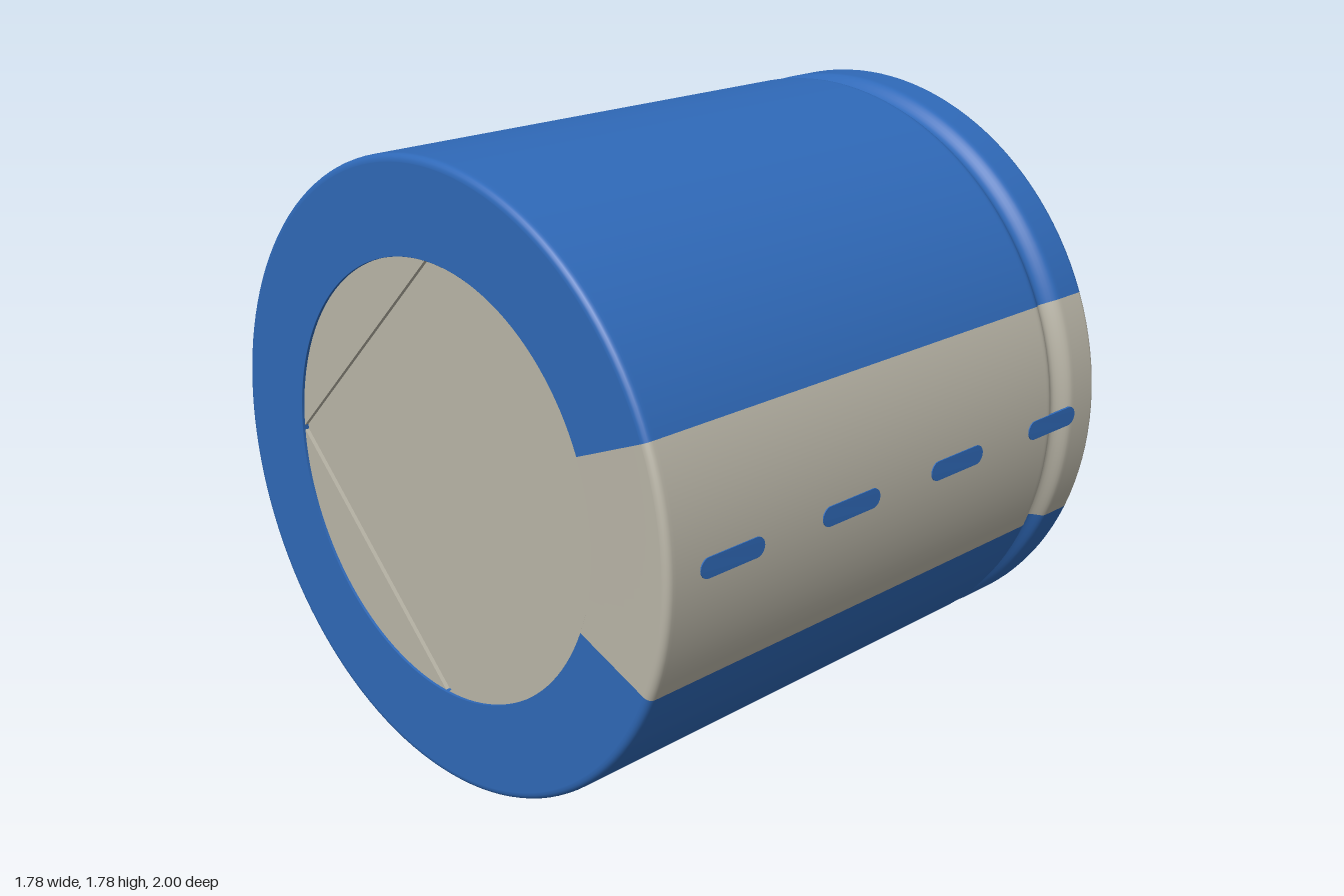
import * as THREE from 'three';

const R = 0.89, INNER = 0.62, BACK = -0.775, FRONT = 1;

export function createModel() {
  const blue = new THREE.MeshStandardMaterial({ color: 0x2f69b8 });
  blue.name = 'blue sleeve';
  const beige = new THREE.MeshStandardMaterial({ color: 0xbab6a8 });
  beige.name = 'beige metal';

  const model = new THREE.Group();
  model.name = 'capacitor';
  const body = new THREE.Group();
  body.name = 'body';
  body.position.y = R;
  model.add(body);

  const add = (name, geometry, material, x = 0, y = 0, z = 0) => {
    const mesh = new THREE.Mesh(geometry, material);
    mesh.name = name;
    mesh.position.set(x, y, z);
    body.add(mesh);
    return mesh;
  };

  // Sleeve profile (radius, depth): back lip, rolled edge, crimp groove, wall, front lip
  const profile = [[INNER, BACK + 0.02], [INNER, BACK + 0.001], [INNER + 0.001, BACK], [R - 0.022, BACK]];
  const corner = (z, from, sign) => {
    for (let i = 0; i <= 5; i++) {
      const a = from + (i / 5) * Math.PI / 2;
      profile.push([R - 0.02 + 0.02 * Math.cos(a), z + sign * 0.02 + 0.02 * Math.sin(a)]);
    }
  };
  corner(BACK, -Math.PI / 2, 1);
  profile.push([R, -0.67]);
  for (let i = 0; i <= 14; i++) {
    const t = i / 14;
    profile.push([R - 0.03 * Math.sin(Math.PI * t) ** 2, -0.66 + 0.12 * t]);
  }
  profile.push([R, -0.53], [R, 0.97]);
  corner(FRONT, 0, -1);
  profile.push([R - 0.022, FRONT], [INNER + 0.001, FRONT], [INNER, FRONT - 0.001], [INNER, FRONT - 0.02]);
  const points = profile.map(([r, z]) => new THREE.Vector2(r, z));
  const sleeve = (start, length, segments) =>
    new THREE.LatheGeometry(points, segments, start, length).rotateX(Math.PI / 2);
  add('sleeve', sleeve(Math.PI * 5 / 8, Math.PI * 7 / 4, 112), blue);
  add('polarityStripe', sleeve(Math.PI * 3 / 8, Math.PI / 4, 16), beige);

  // Front can end: four raised quarters leave a shallow cross groove
  add('frontGrooveFloor', new THREE.CircleGeometry(INNER, 96), beige, 0, 0, FRONT - 0.02);
  const gap = 0.007, a0 = Math.asin(gap / INNER);
  const quarter = new THREE.Shape();
  quarter.moveTo(gap, gap);
  quarter.absarc(0, 0, INNER, a0, Math.PI / 2 - a0, false);
  quarter.closePath();
  for (let i = 0; i < 4; i++) {
    const geometry = new THREE.ExtrudeGeometry(quarter, { depth: 0.012, bevelEnabled: false, curveSegments: 28 });
    add('frontQuarter' + (i + 1), geometry, beige, 0, 0, FRONT - 0.02).rotation.z = i * Math.PI / 2;
  }

  // Recessed back seal
  add('backSeal', new THREE.CircleGeometry(INNER, 96).rotateY(Math.PI), blue, 0, 0, BACK + 0.015);

  // Terminal pins, the left one slightly shorter
  for (const [name, x, tip] of [['rightPin', -0.42, -1], ['leftPin', 0.412, -0.99]]) {
    const back = BACK + 0.03, length = back - tip;
    add(name, new THREE.CylinderGeometry(0.047, 0.047, length, 32).rotateX(Math.PI / 2),
      beige, x, 0, (back + tip) / 2);
  }

  // Stripe dashes: thin rounded plates curved to the wall
  const h = 0.028, half = 0.113;
  const dash = new THREE.Shape();
  dash.absarc(half - h, 0, h, -Math.PI / 2, Math.PI / 2, false);
  dash.absarc(-half + h, 0, h, Math.PI / 2, Math.PI * 1.5, false);
  dash.closePath();
  for (let i = 0; i < 4; i++) {
    const geometry = new THREE.ExtrudeGeometry(dash, { depth: 0.007, bevelEnabled: false, curveSegments: 8 });
    geometry.rotateY(Math.PI / 2);
    const p = geometry.attributes.position;
    for (let k = 0; k < p.count; k++) {
      const y = p.getY(k);
      p.setX(k, p.getX(k) + Math.sqrt(R * R - y * y) - 0.004);
    }
    geometry.computeVertexNormals();
    add('stripeDash' + (i + 1), geometry, blue, 0, 0, 0.777 - i * 0.445);
  }
  return model;
}
